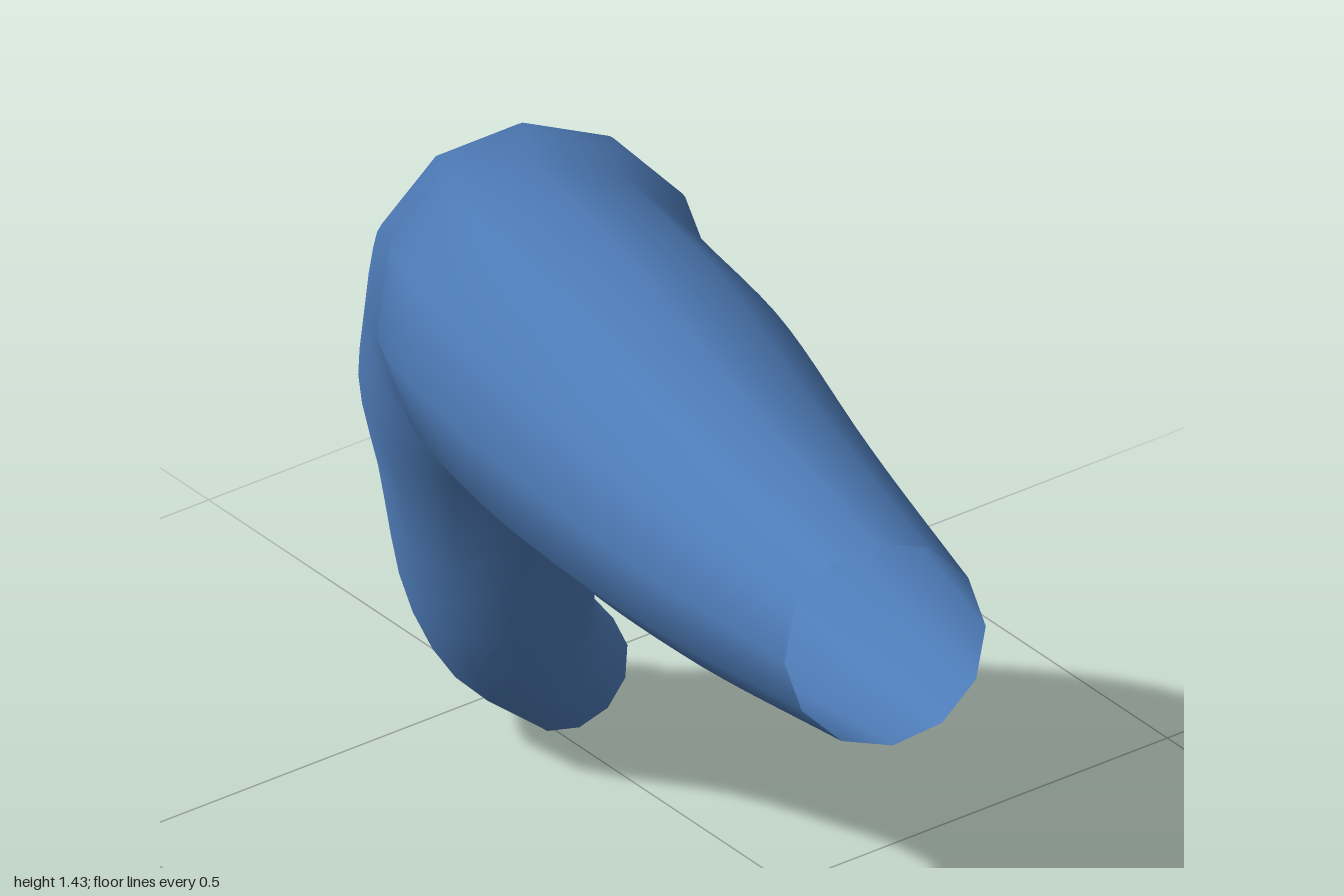
import * as THREE from 'three';

const SIDES = 12;
const RINGS = 40;

// Centre line with radius: x, y, z, r
const STATIONS = [
  [-0.485, 1.33, 0.963, 0.112],
  [-0.365, 1.243, 0.585, 0.15],
  [-0.212, 1.14, 0.19, 0.18],
  [-0.03, 1.005, -0.21, 0.18],
  [0.115, 0.9, -0.41, 0.178],
  [0.23, 0.77, -0.59, 0.175],
  [0.29, 0.618, -0.71, 0.157],
  [0.345, 0.46, -0.79, 0.132],
  [0.415, 0.22, -0.88, 0.1],
  [0.468, 0.13, -0.912, 0.082],
  [0.538, 0.055, -0.93, 0.071],
];

// Tube whose rings are scaled by the radius at each station
function taperedTube(stations) {
  const path = new THREE.CatmullRomCurve3(stations.map(([x, y, z]) => new THREE.Vector3(x, y, z)));
  const radii = new THREE.CatmullRomCurve3(
    stations.map(([, , , r]) => new THREE.Vector3(r, 0, 0)), false, 'catmullrom');
  const geometry = new THREE.TubeGeometry(path, RINGS, 1, SIDES, false);
  const position = geometry.attributes.position;
  const v = new THREE.Vector3();
  for (let ring = 0; ring <= RINGS; ring++) {
    const u = ring / RINGS;
    const centre = path.getPointAt(u);
    const radius = radii.getPoint(path.getUtoTmapping(u)).x;
    for (let side = 0; side <= SIDES; side++) {
      const i = ring * (SIDES + 1) + side;
      v.fromBufferAttribute(position, i).sub(centre).multiplyScalar(radius).add(centre);
      position.setXYZ(i, v.x, v.y, v.z);
    }
  }
  return geometry;
}

export function createModel() {
  const model = new THREE.Group();
  model.name = 'bentTube';

  // Open at both ends, so the inside shows too
  const blue = new THREE.MeshStandardMaterial({ color: 0x4f7dba, side: THREE.DoubleSide });
  blue.name = 'blue';

  const tube = new THREE.Mesh(taperedTube(STATIONS), blue);
  tube.name = 'tubeWall';
  model.add(tube);
  return model;
}
